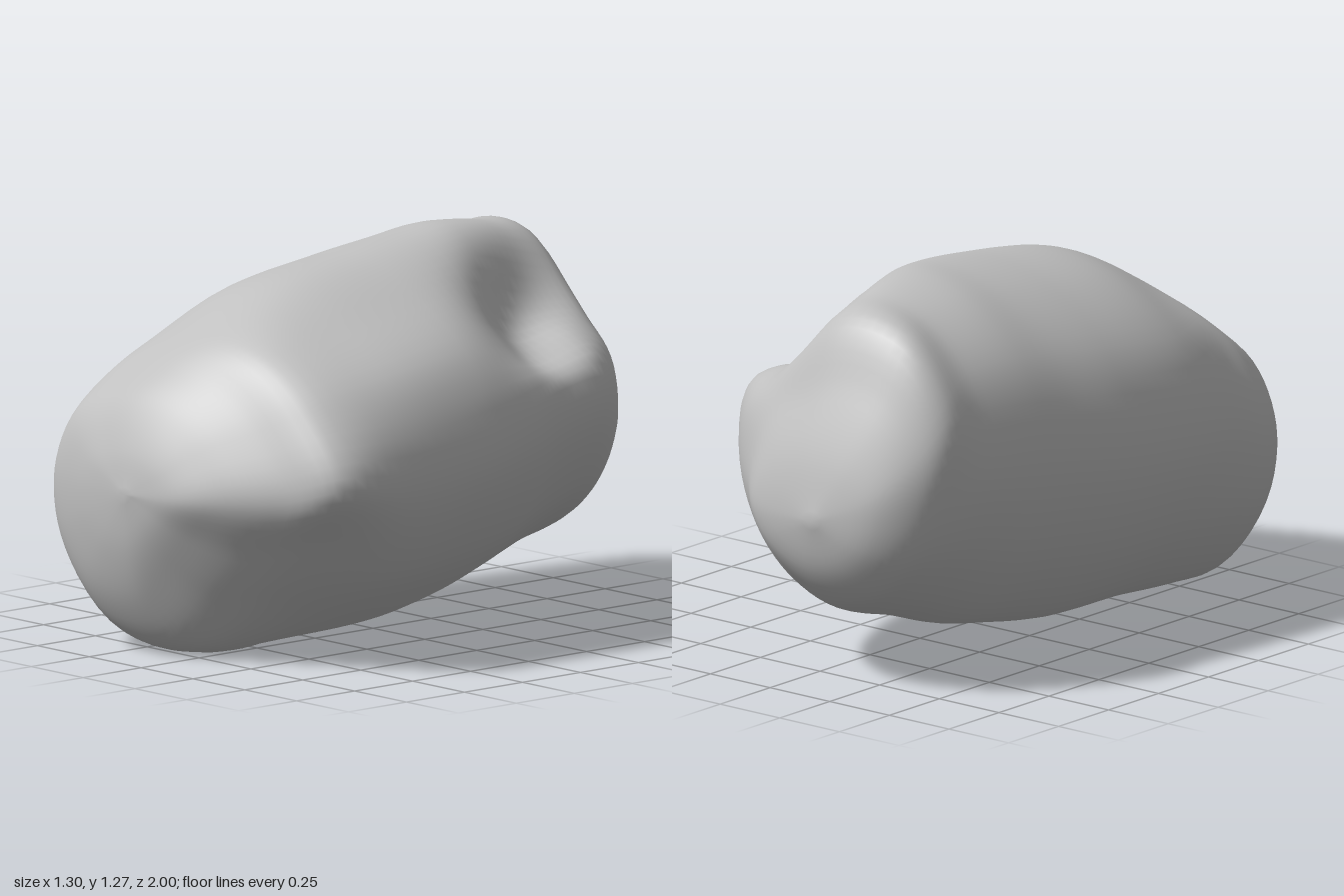
import * as THREE from 'three';
import { mergeVertices } from 'three/addons/utils/BufferGeometryUtils.js';

// Three outlines: radii every 30 degrees, counter-clockwise from +x
const FRONT = [0.50, 0.42, 0.38, 0.37, 0.39, 0.48, 0.53, 0.57, 0.59, 0.53, 0.40, 0.39];
const MIDDLE = [0.64, 0.62, 0.55, 0.57, 0.59, 0.63, 0.64, 0.63, 0.62, 0.58, 0.54, 0.58];
const BACK = [0.42, 0.43, 0.47, 0.53, 0.57, 0.53, 0.47, 0.46, 0.46, 0.45, 0.42, 0.41];

// Stations from front to back: outline, z, centre x and y, width and height scale
const STATIONS = [
  [FRONT, 0.97, -0.10, 0.54, 0.45, 0.37],
  [FRONT, 0.90, -0.11, 0.55, 0.79, 0.74],
  [FRONT, 0.80, -0.05, 0.56, 1, 1],
  [FRONT, 0.68, 0.04, 0.61, 1.17, 1.14],
  [MIDDLE, 0.40, 0, 0.585, 1, 1],
  [MIDDLE, 0.05, -0.01, 0.62, 1, 1.04],
  [MIDDLE, -0.20, -0.025, 0.655, 0.93, 1.03],
  [MIDDLE, -0.37, -0.05, 0.68, 0.86, 1.01],
  [MIDDLE, -0.58, -0.06, 0.705, 0.81, 0.93],
  [BACK, -0.75, -0.08, 0.66, 1, 1],
  [BACK, -0.86, -0.12, 0.60, 0.79, 0.72],
  [BACK, -0.95, -0.12, 0.565, 0.54, 0.38],
];
const FRONT_TIP = new THREE.Vector3(-0.08, 0.54, 1);
const BACK_TIP = new THREE.Vector3(-0.17, 0.57, -1);
const AROUND = 72, STEPS = 6;

// Slanting hollow in the upper +x side, leaving a bulge below it
function carveHollow(p) {
  const dx = p.x - 0.29, dz = p.z + 0.47;
  const across = (dx * 0.84 - dz * 0.54) / 0.16;
  const along = (dx * 0.54 + dz * 0.84) / 0.33;
  const depth = 0.2 * Math.exp(-across * across - along * along)
    * THREE.MathUtils.smoothstep(p.y, 0.76, 1);
  p.x -= depth * 0.5;
  p.y -= depth * 0.85;
  return p;
}

function boulderGeometry() {
  // Smooth rails run from tip to tip through the stations
  const rails = MIDDLE.map((_, k) => {
    const a = (k / MIDDLE.length) * Math.PI * 2;
    const points = STATIONS.map(([outline, z, cx, cy, sx, sy]) => new THREE.Vector3(
      cx + outline[k] * sx * Math.cos(a), cy + outline[k] * sy * Math.sin(a), z));
    return new THREE.CatmullRomCurve3([FRONT_TIP, ...points, BACK_TIP]);
  });

  // Smooth closed rings are drawn across the rails
  const rows = (STATIONS.length + 1) * STEPS;
  const positions = [], index = [];
  for (let i = 0; i <= rows; i++) {
    const tip = i === 0 ? FRONT_TIP : i === rows ? BACK_TIP : null;
    const ring = tip ? null
      : new THREE.CatmullRomCurve3(rails.map((rail) => rail.getPoint(i / rows)), true);
    for (let j = 0; j < AROUND; j++) {
      const p = tip || carveHollow(ring.getPoint(j / AROUND));
      positions.push(p.x, p.y, p.z);
    }
  }
  for (let i = 0; i < rows; i++) {
    for (let j = 0; j < AROUND; j++) {
      const a = i * AROUND + j, b = i * AROUND + (j + 1) % AROUND;
      const c = a + AROUND, d = b + AROUND;
      if (i > 0) index.push(a, c, b);
      if (i < rows - 1) index.push(b, c, d);
    }
  }
  const raw = new THREE.BufferGeometry();
  raw.setAttribute('position', new THREE.Float32BufferAttribute(positions, 3));
  raw.setIndex(index);
  const geometry = mergeVertices(raw, 1e-5);
  geometry.computeVertexNormals();
  return geometry;
}

export function createModel() {
  const stone = new THREE.MeshStandardMaterial({ color: 0xc0c0c0 });
  stone.name = 'stone grey';

  const group = new THREE.Group();
  group.name = 'rock';
  const boulder = new THREE.Mesh(boulderGeometry(), stone);
  boulder.name = 'boulder';
  group.add(boulder);
  return group;
}
